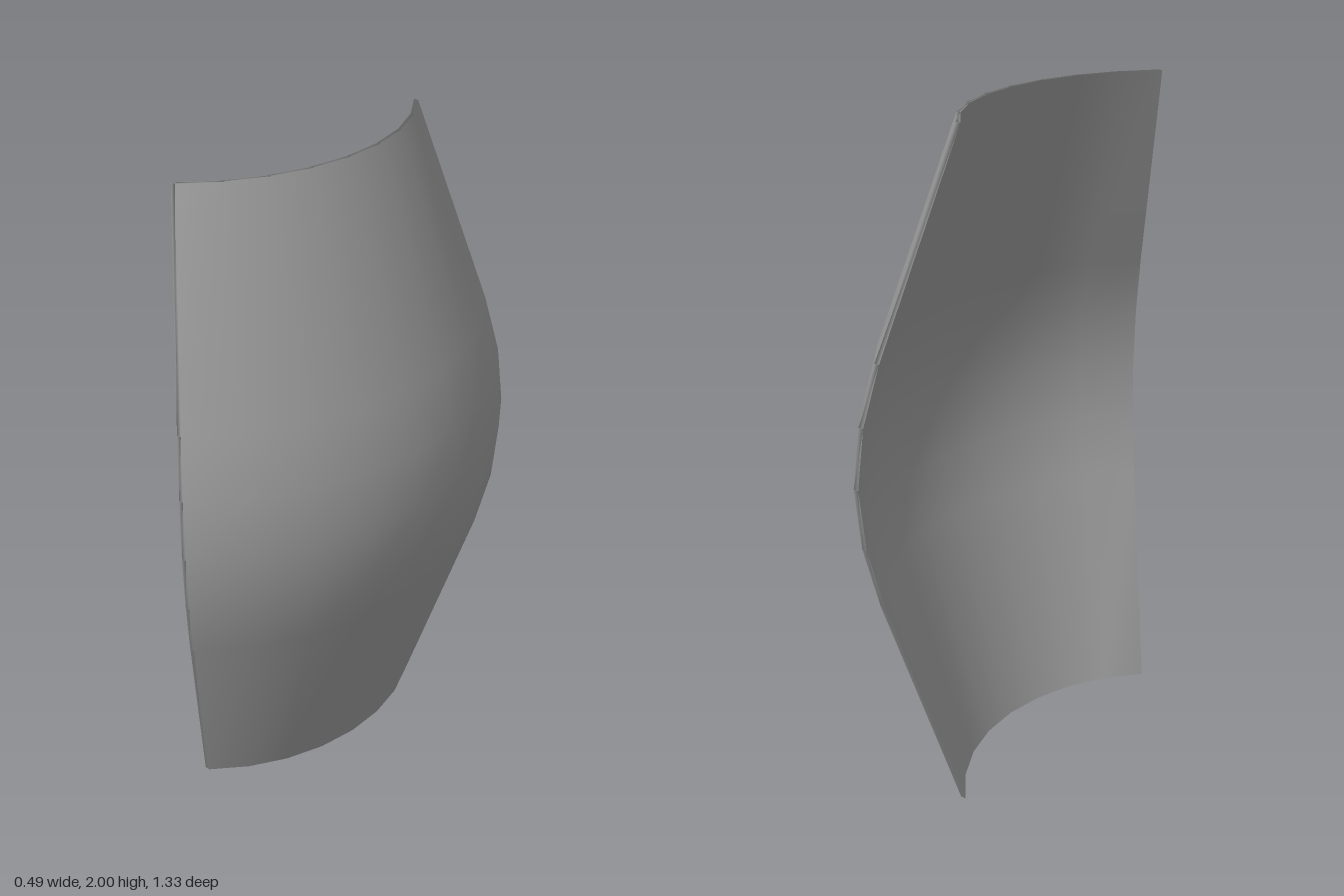
import * as THREE from 'three';
import { mergeGeometries, mergeVertices } from 'three/addons/utils/BufferGeometryUtils.js';

// Profile of the inner face, bottom to top: [radius, height]
const PROFILE = [
  [0.66, 0], [0.881, 0.64], [0.928, 0.82], [0.946, 1],
  [0.928, 1.18], [0.881, 1.36], [0.66, 2],
];
const ROWS = PROFILE.length - 1;
const SEGMENTS = 8;
const AXIS_X = -0.714; // vertical axis the panel curves around
const THICKNESS = 0.012;
const HALF_ANGLE = Math.PI * 0.2485;

// Point on the panel: side -1..1 across the arc, row up the profile, depth 0 inner .. 1 outer
function panelPoint(side, row, depth) {
  const [inner, y] = PROFILE[row];
  const radius = inner + THICKNESS * depth;
  // the end faces stay at the same z from inner to outer skin
  const half = Math.asin((inner * Math.sin(HALF_ANGLE)) / radius);
  const a = side * half;
  return [AXIS_X + radius * Math.cos(a), y, radius * Math.sin(a)];
}

// Bends a plane grid into one face of the panel; u runs right, v runs up
function bentFace(cols, rows, rule) {
  const geometry = new THREE.PlaneGeometry(1, 1, cols, rows);
  const { position, uv } = geometry.attributes;
  for (let i = 0; i < position.count; i++) {
    position.setXYZ(i, ...rule(uv.getX(i), uv.getY(i)));
  }
  geometry.deleteAttribute('uv');
  geometry.deleteAttribute('normal');
  return geometry;
}

export function createModel() {
  const row = (v) => Math.round(v * ROWS);
  const faces = [
    // bulging outer skin and hollow inner skin
    bentFace(SEGMENTS, ROWS, (u, v) => panelPoint(1 - 2 * u, row(v), 1)),
    bentFace(SEGMENTS, ROWS, (u, v) => panelPoint(2 * u - 1, row(v), 0)),
    // thin front and back edges
    bentFace(1, ROWS, (u, v) => panelPoint(1, row(v), u)),
    bentFace(1, ROWS, (u, v) => panelPoint(-1, row(v), 1 - u)),
    // thin top and bottom rims
    bentFace(1, SEGMENTS, (u, v) => panelPoint(1 - 2 * v, ROWS, u)),
    bentFace(1, SEGMENTS, (u, v) => panelPoint(1 - 2 * v, 0, 1 - u)),
  ];

  // Weld the faces so the shading rolls softly over the thin edges
  const geometry = mergeVertices(mergeGeometries(faces));
  geometry.computeVertexNormals();

  const panel = new THREE.Mesh(geometry, new THREE.MeshStandardMaterial({ color: 0x9b9b9b }));
  panel.name = 'curvedPanel';
  const group = new THREE.Group();
  group.add(panel);
  return group;
}
